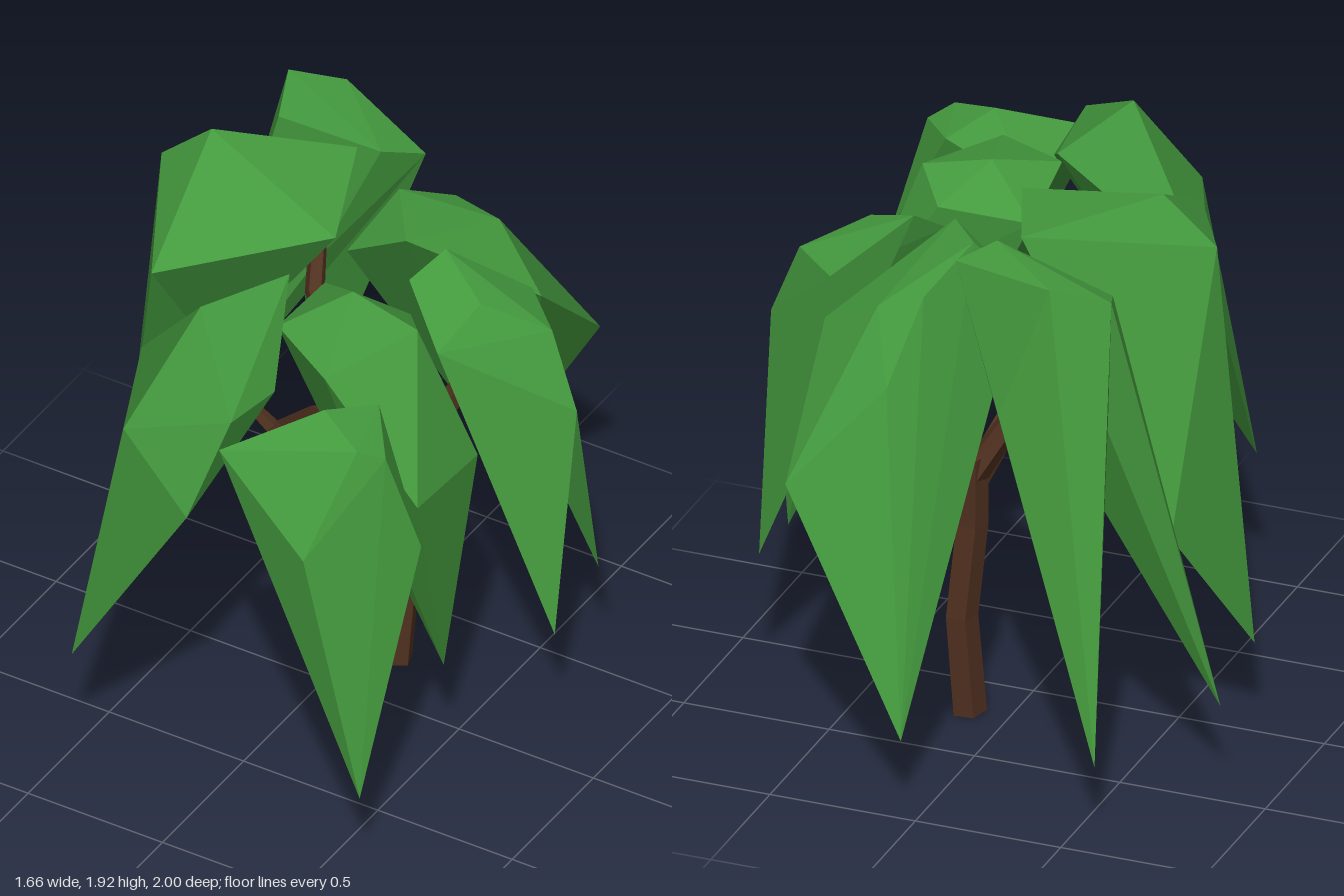
import * as THREE from 'three';
import { ConvexGeometry } from 'three/addons/geometries/ConvexGeometry.js';

const bark = new THREE.MeshStandardMaterial({ color: 0x4f301f, flatShading: true });
const leaf = new THREE.MeshStandardMaterial({ color: 0x449a3e, flatShading: true });
const up = new THREE.Vector3(0, 1, 0);
const vec = (p) => new THREE.Vector3(p[0], p[1], p[2]);

// Continuous five-sided limb through [x, y, z, radius] stations
function limb(name, stations) {
  const last = stations.length - 1;
  const geo = new THREE.CylinderGeometry(1, 1, 1, 5, last);
  const pos = geo.attributes.position;
  const turns = stations.map((s, i) => {
    const from = vec(stations[Math.max(i - 1, 0)]);
    const dir = vec(stations[Math.min(i + 1, last)]).sub(from).normalize();
    return new THREE.Quaternion().setFromUnitVectors(up, dir);
  });
  for (let i = 0; i < pos.count; i++) {
    const row = Math.round((pos.getY(i) + 0.5) * last);
    const r = stations[row][3];
    const p = new THREE.Vector3(pos.getX(i) * r, 0, pos.getZ(i) * r);
    p.applyQuaternion(turns[row]).add(vec(stations[row]));
    pos.setXYZ(i, p.x, p.y, p.z);
  }
  geo.computeVertexNormals();
  const mesh = new THREE.Mesh(geo, bark);
  mesh.name = name;
  return mesh;
}

// Faceted hanging clump: crown corners that narrow to a low tip
function clump(name, corners) {
  const mesh = new THREE.Mesh(new ConvexGeometry(corners.map(vec)), leaf);
  mesh.name = name;
  return mesh;
}

const limbs = {
  trunk: [[0.135, 0, -0.215, 0.058], [0.155, 0.35, -0.235, 0.056], [0.13, 0.67, -0.21, 0.056], [0.125, 0.92, -0.22, 0.056]],
  backRightBranch: [[0.13, 0.83, -0.22, 0.05], [-0.03, 1.1, -0.16, 0.04], [-0.2, 1.3, -0.27, 0.034], [-0.28, 1.44, -0.43, 0.03], [-0.3, 1.56, -0.5, 0.022]],
  leftBranch: [[0.13, 0.8, -0.22, 0.048], [0.33, 1.1, -0.28, 0.04], [0.42, 1.36, -0.34, 0.034]],
  leftTwig: [[0.41, 1.33, -0.34, 0.028], [0.49, 1.45, -0.28, 0.02]],
  backTwig: [[0.41, 1.33, -0.34, 0.028], [0.41, 1.5, -0.43, 0.02]],
  frontBranch: [[0.12, 0.83, -0.21, 0.05], [0.03, 1.06, -0.01, 0.046], [0.03, 1.13, 0.12, 0.042], [0.15, 1.4, 0.54, 0.034], [0.26, 1.47, 0.63, 0.022]],
  frontTwig: [[0.14, 1.39, 0.53, 0.028], [0.04, 1.5, 0.56, 0.02]],
};

// Clumps with two tips or a hollow underside are made of lobes that share corners
const clumps = {
  frontLeftClump: [[0.51, 1.63, 0.51], [0.74, 1.23, 0.63], [0.68, 0.38, 0.91], [0.5, 1.29, 0.96], [0.15, 1.56, 0.9],
    [0.24, 1.45, 0.59], [0.41, 1.68, 0.68], [0.58, 1.63, 0.76], [0.65, 1.59, 0.7]],
  leftClump: [[0.03, 1.63, 0.05], [0.35, 1.63, 0.05], [0.63, 1.21, 0.1], [0.66, 1.28, 0.52], [0.32, 1.67, 0.53],
    [0.06, 1.69, 0.39], [0.22, 1.76, 0.19], [0.46, 1.7, 0.19], [0.6, 0.46, 0.26]],
  backLeftFrontLobe: [[0.33, 1.72, -0.2], [0.26, 1.64, -0.09], [0.72, 1.54, -0.21], [0.55, 1.54, -0.37],
    [0.83, 1.28, -0.18], [0.82, 0.46, -0.06], [0.45, 1.51, 0.05], [0.52, 1.64, -0.1]],
  backLeftRearLobe: [[0.33, 1.72, -0.2], [0.72, 1.54, -0.21], [0.55, 1.54, -0.37], [0.83, 1.28, -0.18], [0.79, 0.51, -0.38]],
  backClump: [[0.05, 0.27, -1], [0.5, 1.04, -0.87], [0.53, 1.44, -0.46], [0.2, 1.72, -0.17], [-0.05, 1.55, -0.22],
    [0.06, 1.75, -0.36], [0.15, 1.63, -0.56], [0.3, 1.58, -0.58], [0.21, 1.37, -0.73]],
  frontRightClump: [[-0.47, 1.37, 0.35], [0.02, 1.79, 0.25], [0.17, 1.6, 0.59], [0.17, 1.65, 0.86], [0.09, 1.33, 1],
    [-0.41, 0.51, 0.88], [-0.23, 1.47, 0.86], [-0.1, 1.84, 0.6]],
  rightCrownLobe: [[-0.68, 1.76, -0.12], [-0.62, 0.82, -0.36], [-0.12, 1.82, -0.4], [0.04, 1.78, 0],
    [-0.44, 1.67, 0.34], [-0.5, 1.92, -0.13], [-0.45, 1.07, -0.08]],
  rightHangingLobe: [[-0.76, 0.31, 0], [-0.68, 1.76, -0.12], [-0.62, 0.82, -0.36], [-0.44, 1.67, 0.34], [-0.45, 1.07, -0.08]],
  backRightRearLobe: [[-0.6, 0.28, -0.96], [-0.34, 1.81, -0.7], [-0.54, 1.79, -0.67], [-0.18, 1.35, -0.74],
    [0.05, 1.77, -0.54], [-0.48, 1.73, -0.51]],
  backRightSideLobe: [[-0.83, 0.31, -0.46], [-0.34, 1.81, -0.7], [-0.54, 1.79, -0.67], [-0.48, 1.73, -0.51],
    [-0.28, 1.3, -0.44], [0.05, 1.77, -0.54], [-0.05, 1.81, -0.43]],
};

export function createModel() {
  const tree = new THREE.Group();
  tree.name = 'willowTree';
  for (const [name, stations] of Object.entries(limbs)) tree.add(limb(name, stations));
  for (const [name, corners] of Object.entries(clumps)) tree.add(clump(name, corners));
  return tree;
}
